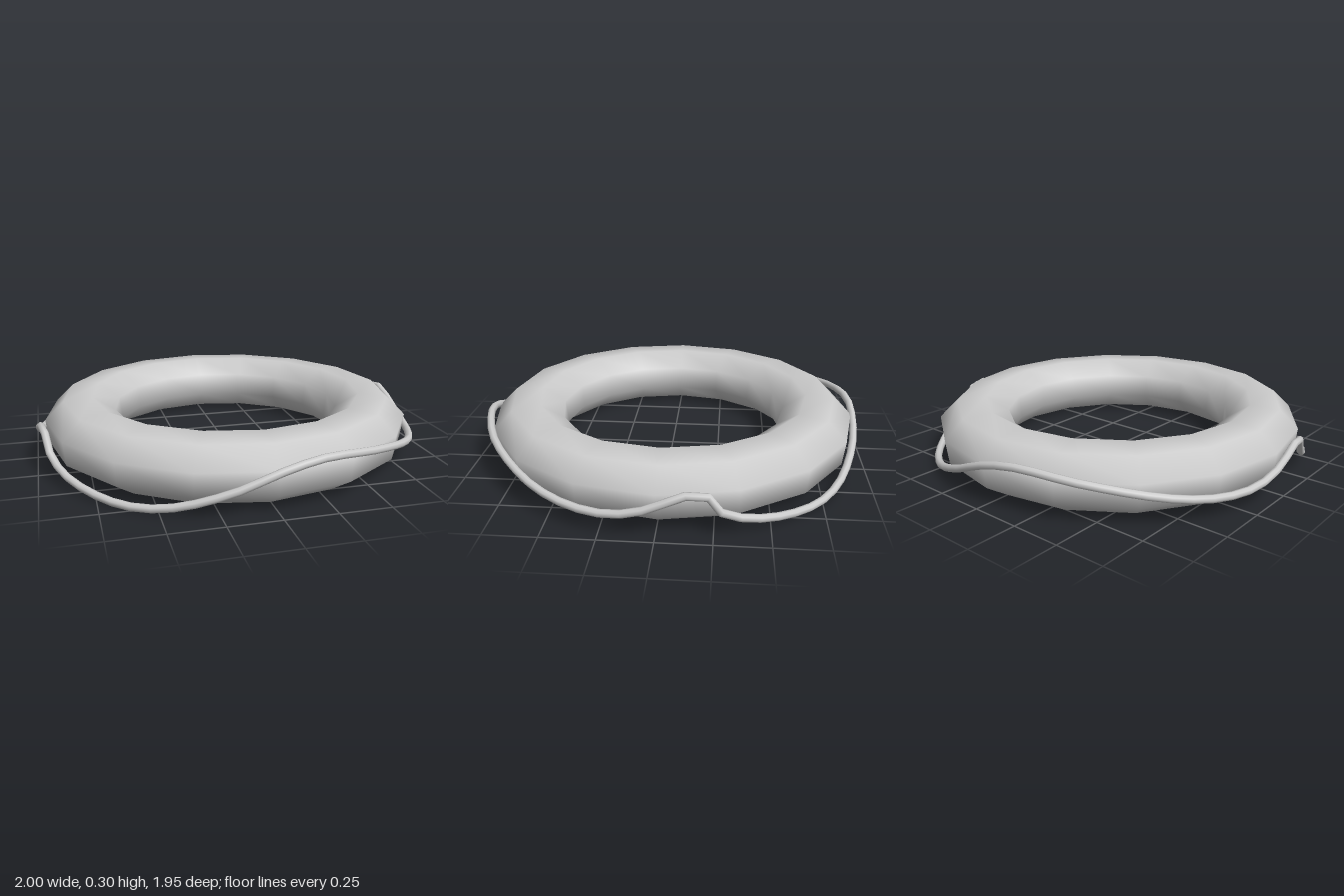
import * as THREE from 'three';
import { mergeVertices } from 'three/addons/utils/BufferGeometryUtils.js';

// Lathed ring with an eight-sided, slightly tilted oval section
function ringGeometry() {
  const profile = [];
  for (let i = 0; i <= 8; i++) {
    const a = THREE.MathUtils.degToRad(17 + (i % 8) * 45);
    profile.push(new THREE.Vector2(0.762 + 0.196 * Math.cos(a), 0.16 + 0.157 * Math.sin(a)));
  }
  const lathe = new THREE.LatheGeometry(profile, 16);
  lathe.deleteAttribute('normal');
  lathe.deleteAttribute('uv');
  const geometry = mergeVertices(lathe, 1e-4);
  geometry.computeVertexNormals();
  return geometry;
}

// Closed rope looping around the ring; the second half repeats the first
function ropeGeometry() {
  // [degrees from the front towards +x, height]
  const half = [
    [-73, 0.13], [-61, 0.063], [-42, 0.025], [-28, 0.045], [-12, 0.125], [0, 0.205],
    [11, 0.243], [30, 0.213], [52, 0.145], [66, 0.112], [78, 0.112], [87, 0.147],
    [93, 0.19], [99, 0.224], [104, 0.205],
  ];
  const points = [];
  for (const turn of [0, 180]) {
    for (const [deg, y] of half) {
      const a = THREE.MathUtils.degToRad(deg + turn);
      points.push(new THREE.Vector3(0.98 * Math.sin(a), y, 0.957 * Math.cos(a)));
    }
  }
  const path = new THREE.CatmullRomCurve3(points, true);
  return new THREE.TubeGeometry(path, 64, 0.019, 8, true);
}

export function createModel() {
  const model = new THREE.Group();
  model.name = 'lifebuoy';
  const grey = new THREE.MeshStandardMaterial({ color: 0xcccccc });
  grey.name = 'light grey';

  const ring = new THREE.Mesh(ringGeometry(), grey);
  ring.name = 'floatRing';
  const rope = new THREE.Mesh(ropeGeometry(), grey);
  rope.name = 'grabRope';
  model.add(ring, rope);
  return model;
}
